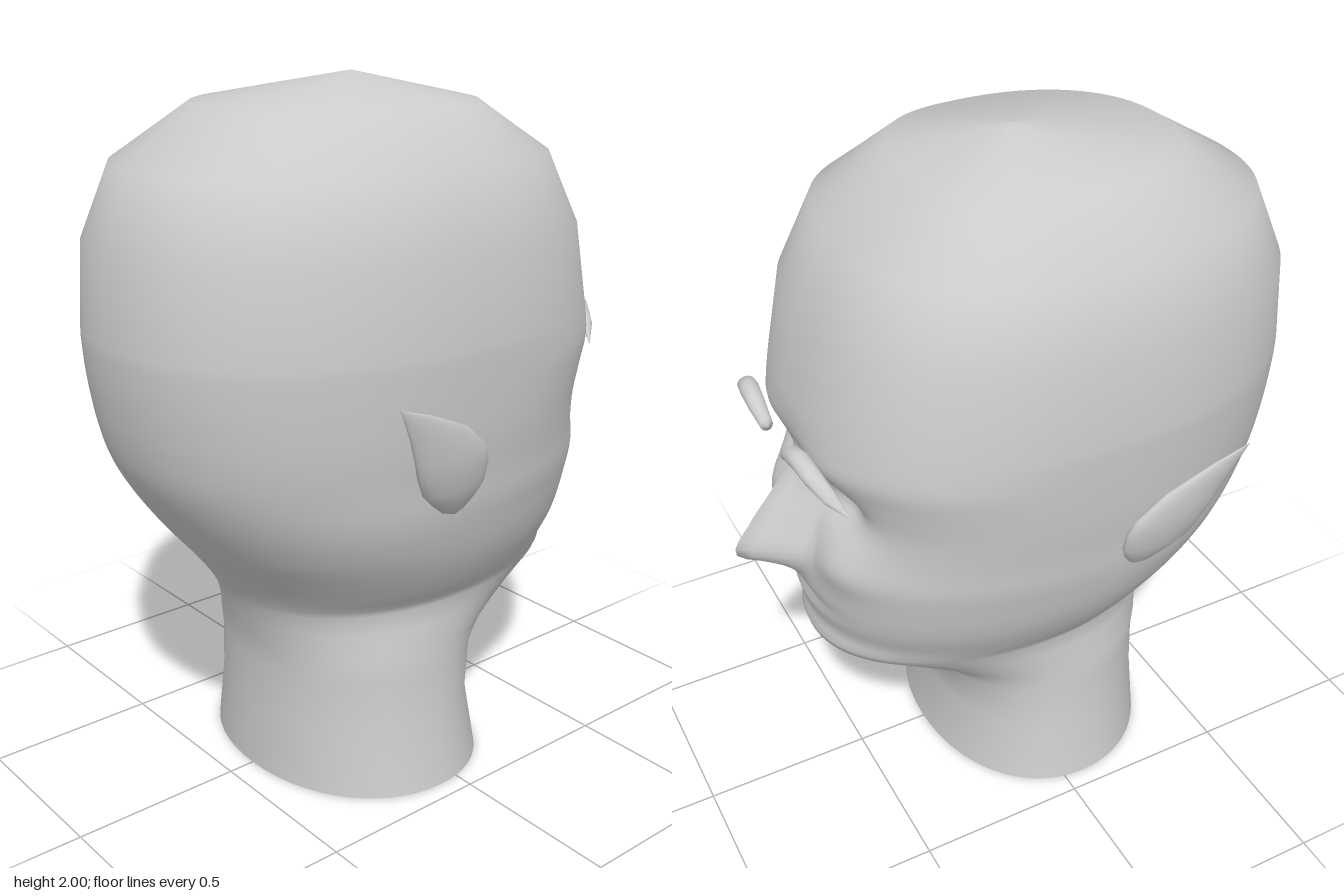
import * as THREE from 'three';

// Skin stacked closed rings into a smooth surface.
function loft(rings) {
  const n = rings[0].length, pos = rings.flat(2), idx = [];
  for (let i = 0; i < rings.length - 1; i++) {
    for (let j = 0; j < n; j++) {
      const k = (j + 1) % n, a = i * n + j, b = i * n + k;
      idx.push(a, a + n, b, b, a + n, b + n);
    }
  }
  const g = new THREE.BufferGeometry();
  g.setAttribute('position', new THREE.Float32BufferAttribute(pos, 3));
  g.setIndex(idx);
  g.computeVertexNormals();
  return g;
}

const ring = (n, fn) => Array.from({ length: n }, (_, j) => fn((j / n) * Math.PI * 2));

// Smooth interpolation of one column of a table keyed by its first column.
function sample(table, y, col) {
  const last = table.length - 1;
  if (y <= table[0][0]) return table[0][col];
  if (y >= table[last][0]) return table[last][col];
  let i = 0;
  while (table[i + 1][0] < y) i++;
  const slope = (k) => {
    const a = table[Math.max(k - 1, 0)], b = table[Math.min(k + 1, last)];
    return (b[col] - a[col]) / (b[0] - a[0]);
  };
  const p = table[i], q = table[i + 1], h = q[0] - p[0], t = (y - p[0]) / h;
  const t2 = t * t, t3 = t2 * t;
  return (2 * t3 - 3 * t2 + 1) * p[col] + (t3 - 2 * t2 + t) * h * slope(i)
    + (3 * t2 - 2 * t3) * q[col] + (t3 - t2) * h * slope(i + 1);
}

// Head sections: height, half width, back z, face z, squareness
const HEAD = [
  [0, 0.445, 0.42, -0.28, 2.1],
  [0.2, 0.41, 0.41, -0.25, 2.1],
  [0.35, 0.4, 0.41, -0.28, 2.1],
  [0.42, 0.395, 0.42, -0.36, 2.1],
  [0.5, 0.385, 0.44, -0.52, 2.1],
  [0.555, 0.387, 0.46, -0.625, 2.1],
  [0.62, 0.43, 0.495, -0.62, 2.1],
  [0.7, 0.475, 0.555, -0.64, 2.15],
  [0.78, 0.508, 0.62, -0.65, 2.2],
  [0.9, 0.54, 0.705, -0.65, 2.3],
  [1.0, 0.552, 0.76, -0.62, 2.4],
  [1.1, 0.565, 0.79, -0.6, 2.5],
  [1.2, 0.573, 0.808, -0.61, 2.6],
  [1.27, 0.577, 0.816, -0.63, 2.6],
  [1.36, 0.58, 0.82, -0.625, 2.5],
  [1.59, 0.567, 0.805, -0.575, 2.5],
  [1.79, 0.5, 0.72, -0.47, 2.6],
  [1.93, 0.35, 0.49, -0.26, 2.7],
  [2.0, 0.002, 0.037, 0.033, 2],
];

// Nose: height, projection, half width
const NOSE = [
  [0.78, 0, 0.08], [0.83, 0.05, 0.1], [0.9, 0.17, 0.105],
  [1.0, 0.15, 0.09], [1.12, 0.075, 0.07], [1.2, 0, 0.06],
];

const bump = (x, y, cx, cy, sx, sy) => Math.exp(-(((x - cx) / sx) ** 2) - ((y - cy) / sy) ** 2);

// Forward relief of the face at a point
function relief(x, y) {
  const ax = Math.abs(x);
  const nose = sample(NOSE, y, 1) * Math.max(0, 1 - ax / sample(NOSE, y, 2));
  return nose
    - 0.055 * bump(ax, y, 0.18, 1.11, 0.09, 0.06) // eye socket
    + 0.03 * bump(ax, y, 0.24, 0.95, 0.1, 0.08) // cheek
    - 0.02 * bump(ax, y, 0, 0.73, 0.14, 0.025) // mouth
    + 0.012 * bump(ax, y, 0.2, 1.24, 0.12, 0.05); // brow ridge
}

function headGeometry() {
  const heights = HEAD.map((r) => r[0]).filter((y) => y < 0.55 || y > 1.37);
  for (let y = 0.555; y < 1.37; y += 0.023) heights.push(y);
  heights.sort((a, b) => a - b);
  return loft(heights.map((y) => {
    const [w, back, face, n] = [1, 2, 3, 4].map((c) => sample(HEAD, y, c));
    const mid = Math.min(0.06, (back + face) / 2 + 0.05 * (y < 1.95));
    return ring(192, (a) => {
      const c = Math.cos(a), s = Math.sin(a), front = s < 0;
      const depth = front ? mid - face : back - mid, e = front ? n : Math.min(n, 2.2);
      const r = (Math.abs(c / w) ** e + Math.abs(s / depth) ** e) ** (-1 / e);
      const x = r * c, z = mid + r * s;
      return [x, y, z - (front && z < -0.3 ? relief(x, y) : 0)];
    });
  }));
}

// Pointed ear sections: height, front z, back z, centre x, half thickness
const EAR = [
  [0.908, 0.13, 0.14, 0.548, 0.001],
  [0.925, 0.108, 0.185, 0.553, 0.015],
  [0.96, 0.083, 0.23, 0.565, 0.025],
  [1.0, 0.066, 0.275, 0.58, 0.031],
  [1.06, 0.066, 0.308, 0.595, 0.031],
  [1.11, 0.085, 0.328, 0.607, 0.028],
  [1.18, 0.165, 0.357, 0.62, 0.019],
  [1.24, 0.3, 0.387, 0.631, 0.008],
  [1.273, 0.4, 0.405, 0.636, 0.001],
];

const earGeometry = () => loft(EAR.map(([y, z0, z1, x, t]) => ring(24, (a) => [
  x + t * Math.cos(a), y, (z0 + z1) / 2 + ((z1 - z0) / 2) * Math.sin(a),
])));

// Arched brow sections: x, y, z, half height, half depth
const BROW = [
  [0.07, 1.245, -0.668, 0.001, 0.001],
  [0.075, 1.248, -0.67, 0.02, 0.018],
  [0.13, 1.285, -0.675, 0.026, 0.025],
  [0.19, 1.298, -0.672, 0.026, 0.028],
  [0.25, 1.278, -0.662, 0.023, 0.026],
  [0.3, 1.235, -0.638, 0.016, 0.02],
  [0.34, 1.19, -0.605, 0.001, 0.001],
];

const browGeometry = () => loft(BROW.map(([x, y, z, h, d]) => ring(16, (a) => [
  x, y + h * Math.cos(a), z - d * Math.sin(a),
])));

export function createModel() {
  const skin = new THREE.MeshStandardMaterial({ color: 0xcccccc, side: THREE.DoubleSide });
  skin.name = 'paleGrey';
  const model = new THREE.Group();
  model.name = 'headBust';

  const add = (geometry, name, mirrored) => {
    const mesh = new THREE.Mesh(geometry, skin);
    mesh.name = name;
    if (mirrored) mesh.scale.x = -1;
    model.add(mesh);
  };

  add(headGeometry(), 'headAndNeck');
  const ear = earGeometry(), brow = browGeometry();
  for (const [side, mirrored] of [['left', false], ['right', true]]) {
    add(ear, side + 'Ear', mirrored);
    add(brow, side + 'Eyebrow', mirrored);
  }
  return model;
}
